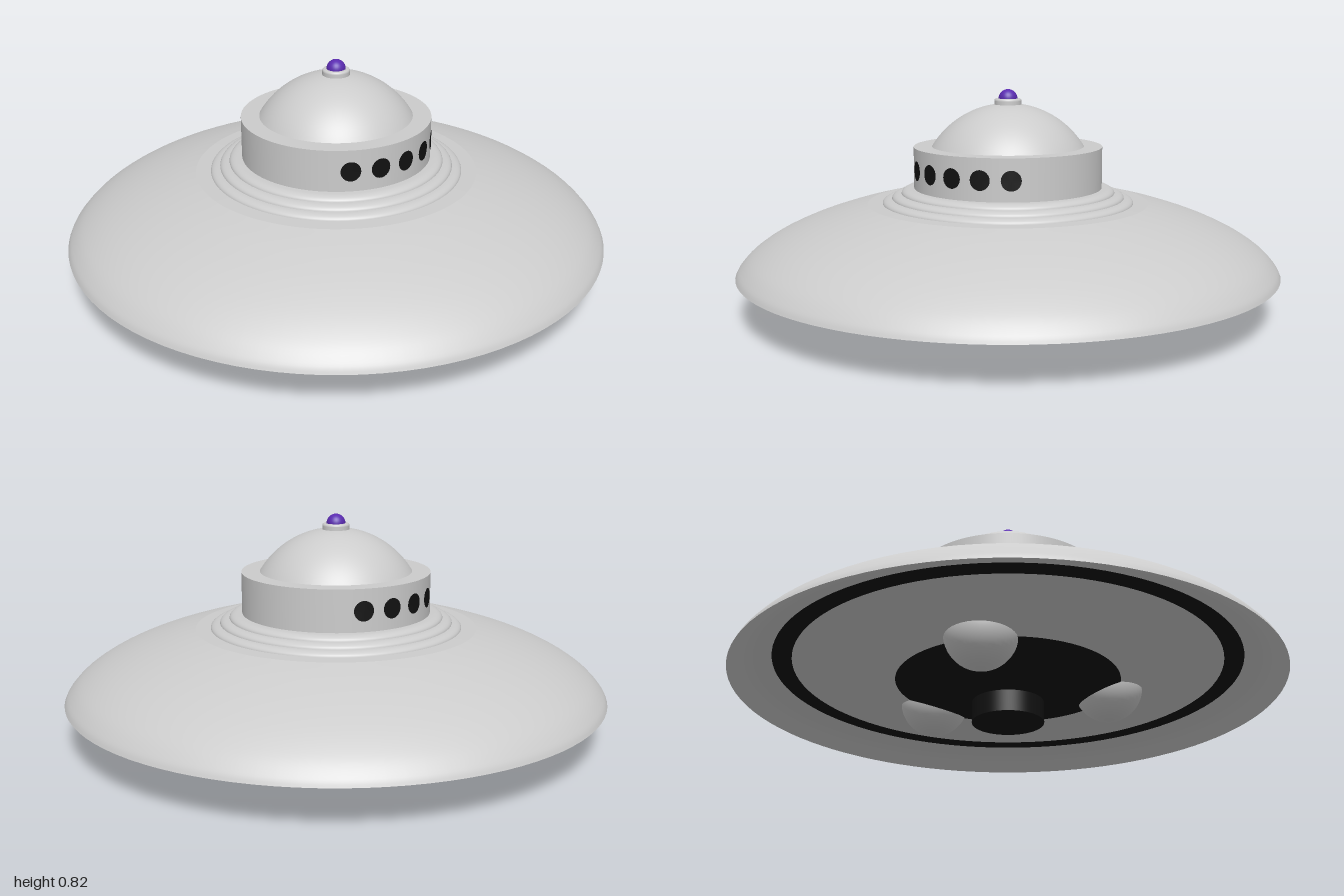
import * as THREE from 'three';
import { mergeGeometries } from 'three/addons/utils/BufferGeometryUtils.js';

const SEGMENTS = 96;
const grey = new THREE.MeshStandardMaterial({ color: 0xcccccc });
const black = new THREE.MeshStandardMaterial({ color: 0x111111 });
const purple = new THREE.MeshStandardMaterial({ color: 0x5a2bb0 });

// Sample a smooth curve through [radius, height] points
const smooth = (points, n = 20) =>
  new THREE.SplineCurve(points.map(([r, y]) => new THREE.Vector2(r, y))).getPoints(n).map(p => [p.x, p.y]);

// Elliptical arc about (cx, cy) in the profile plane, angles in radians
function arc(cx, cy, rx, ry, from, to, n = 12) {
  return Array.from({ length: n + 1 }, (_, i) => {
    const a = from + (to - from) * i / n;
    return [Math.max(0, cx + rx * Math.cos(a)), cy + ry * Math.sin(a)];
  });
}

// Revolve several smooth profiles; edges between them stay sharp
function turned(name, material, ...profiles) {
  const parts = profiles.map(p =>
    new THREE.LatheGeometry(p.map(([r, y]) => new THREE.Vector2(r, y)), SEGMENTS));
  const mesh = new THREE.Mesh(mergeGeometries(parts), material);
  mesh.name = name;
  return mesh;
}

export function createModel() {
  const model = new THREE.Group();
  model.name = 'flyingSaucer';
  const quarter = Math.PI / 2;

  // Saucer hull: curved upper shell and recessed lip beneath
  model.add(turned('hull', grey,
    smooth([[0.85, 0.22], [0.93, 0.195], [1, 0.155]], 8),
    smooth([[1, 0.155], [0.985, 0.182], [0.94, 0.228], [0.86, 0.28], [0.75, 0.33], [0.62, 0.374], [0.52, 0.4]], 28),
    [[0.52, 0.4], [0.44, 0.402]]));

  // Underside: dark ring, shallow conical plate and dark belly
  model.add(turned('undersideRing', black, [[0.78, 0.22], [0.85, 0.22]]));
  model.add(turned('undersidePlate', grey, [[0.4, 0.18], [0.78, 0.22]]));
  model.add(turned('belly', black,
    Array.from({ length: 13 }, (_, i) => [0.41 * i / 12, 0.095 + 0.085 * (i / 12) ** 2])));

  // Central emitter with rounded bottom
  model.add(turned('emitter', black,
    Array.from({ length: 9 }, (_, i) => [0.13 * i / 8, 0.025 * (i / 8) ** 2]),
    [[0.13, 0.025], [0.13, 0.102]],
    [[0.13, 0.102], [0, 0.102]]));

  // Three landing pods
  const podGeometry = new THREE.SphereGeometry(0.128, 40, 28);
  for (let i = 0; i < 3; i++) {
    const a = i * Math.PI * 2 / 3;
    const pod = new THREE.Mesh(podGeometry, grey);
    pod.name = 'landingPod';
    pod.position.set(0.39 * Math.sin(a), 0.204, 0.39 * Math.cos(a));
    model.add(pod);
  }

  // Rolled steps between hull and cabin
  model.add(turned('collar', grey,
    ...[0, 1, 2].map(i => arc(0.43 - 0.035 * i, 0.4 + 0.018 * i, 0.035, 0.019, 0, quarter, 8)),
    [[0.36, 0.455], [0.34, 0.456]]));

  // Cabin wall with flat top rim
  model.add(turned('cabin', grey,
    [[0.348, 0.45], [0.348, 0.608]],
    [[0.348, 0.608], [0.28, 0.608]]));

  // Domed roof
  const start = Math.asin((0.606 - 0.436) / 0.329);
  model.add(turned('dome', grey, arc(0, 0.436, 0.329, 0.329, start, quarter, 28)));

  // Beacon socket and lamp
  model.add(turned('beaconSocket', grey,
    [[0.05, 0.755], [0.05, 0.775]],
    arc(0.042, 0.775, 0.008, 0.008, 0, quarter, 5),
    [[0.042, 0.783], [0, 0.783]]));
  const beacon = new THREE.Mesh(new THREE.SphereGeometry(0.035, 32, 20), purple);
  beacon.name = 'beacon';
  beacon.position.y = 0.782;
  model.add(beacon);

  // Portholes: discs wrapped onto the cabin wall, five on each of two opposite sides
  const portholeGeometry = new THREE.CircleGeometry(0.036, 32);
  const pos = portholeGeometry.attributes.position;
  for (let i = 0; i < pos.count; i++) {
    const a = pos.getX(i) / 0.35;
    pos.setXYZ(i, 0.35 * Math.sin(a), pos.getY(i), 0.35 * Math.cos(a));
  }
  portholeGeometry.computeVertexNormals();
  for (const side of [0, Math.PI]) {
    for (let i = 0; i < 5; i++) {
      const porthole = new THREE.Mesh(portholeGeometry, black);
      porthole.name = 'porthole';
      porthole.position.y = 0.53;
      porthole.rotation.y = side + i * Math.PI / 10;
      model.add(porthole);
    }
  }
  return model;
}
